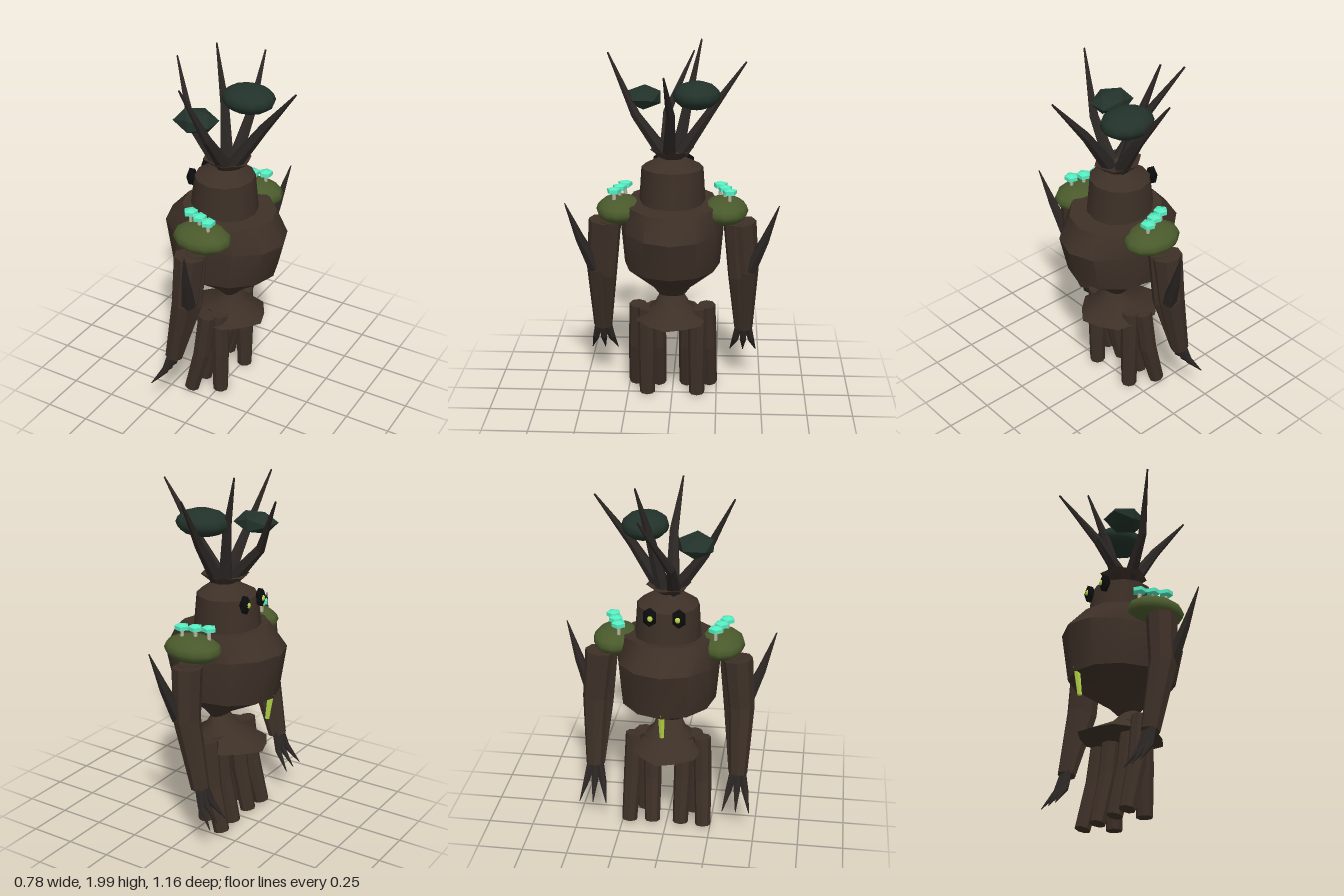
import * as THREE from 'three';
import { toCreasedNormals } from 'three/addons/utils/BufferGeometryUtils.js';

const mat = (color, flatShading = true) => new THREE.MeshStandardMaterial({ color, flatShading, side: THREE.DoubleSide });
const bark = mat(0x3d3027), trunkBark = mat(0x3d3027, false), wood = mat(0x2b2624);
const moss = mat(0x4a5a2c, false), leaf = mat(0x22322a, false), flatLeaf = mat(0x22322a);
const teal = mat(0x55ecc0), stemMat = mat(0xb8b0a0), black = mat(0x0c0c0e), glow = mat(0xb8d848);
const V = (p) => new THREE.Vector3(...p);

// Skins a list of rings (equal point counts) and closes both ends
function skin(rings) {
  const out = [], n = rings[0].length;
  const tri = (...ps) => ps.forEach((p) => out.push(p.x, p.y, p.z));
  const mid = (r) => r.reduce((s, p) => s.add(p), new THREE.Vector3()).divideScalar(n);
  const last = rings[rings.length - 1], c0 = mid(rings[0]), c1 = mid(last);
  for (let j = 0; j < n; j++) {
    const k = (j + 1) % n;
    for (let i = 0; i < rings.length - 1; i++) {
      tri(rings[i][j], rings[i + 1][j], rings[i][k]);
      tri(rings[i][k], rings[i + 1][j], rings[i + 1][k]);
    }
    tri(c0, rings[0][j], rings[0][k]);
    tri(c1, last[k], last[j]);
  }
  const g = new THREE.BufferGeometry();
  g.setAttribute('position', new THREE.Float32BufferAttribute(out, 3));
  g.computeVertexNormals();
  return g;
}

// Level rings, bottom to top: [centreX, y, radiusX, radiusZ, tilt, twist, jag]
function loft(sections, sides = 12) {
  const g = skin(sections.map(([cx, y, rx, rz, tilt = 0, twist = 0, jag = 0]) =>
    Array.from({ length: sides }, (_, j) => {
      const a = (j / sides) * Math.PI * 2 + twist, s = 1 - (j % 2) * jag;
      return new THREE.Vector3(cx + Math.cos(a) * rx * s, y + tilt * Math.cos(a), Math.sin(a) * rz * s);
    })));
  return toCreasedNormals(g, 0.62);
}

// Tapering limb along a few points, one radius per point
function limb(points, radii, sides = 7) {
  const ps = points.map(V);
  return skin(ps.map((p, i) => {
    const t = ps[Math.min(i + 1, ps.length - 1)].clone().sub(ps[Math.max(i - 1, 0)]).normalize();
    const u = new THREE.Vector3(1, 0, 0).addScaledVector(t, -t.x).normalize();
    const v = u.clone().cross(t);
    return Array.from({ length: sides }, (_, j) => {
      const a = (j / sides) * Math.PI * 2;
      return p.clone().addScaledVector(u, Math.cos(a) * radii[i]).addScaledVector(v, Math.sin(a) * radii[i]);
    });
  }));
}

export function createModel() {
  const root = new THREE.Group();
  const add = (name, geo, material, parent = root) => {
    const m = new THREE.Mesh(geo, material);
    m.name = name;
    parent.add(m);
    return m;
  };
  const blob = (name, geo, material, pos, size, parent) => {
    const m = add(name, geo, material, parent);
    m.position.set(...pos);
    m.scale.set(...size);
    return m;
  };

  // Trunk: flared skirt, twisted waist and barrel chest
  add('torso', loft([
    [-0.035, 0.472, 0.25, 0.21, 0, -0.9, 0.08],
    [0, 0.56, 0.09, 0.1, 0, -0.6],
    [0.015, 0.62, 0.04, 0.07, 0, -0.3],
    [0.005, 0.67, 0.1, 0.11, 0, -0.1],
    [-0.03, 0.79, 0.298, 0.262],
    [-0.025, 1.025, 0.347, 0.282, -0.025],
    [-0.005, 1.15, 0.255, 0.25, -0.022],
  ]), trunkBark);

  // Head with a pinched top and a ragged collar
  add('head', loft([
    [-0.037, 1.14, 0.185, 0.18],
    [-0.037, 1.17, 0.182, 0.178],
    [-0.033, 1.335, 0.162, 0.167],
    [-0.01, 1.4, 0.05, 0.055],
  ]), trunkBark);
  add('crownCollar', loft([
    [-0.01, 1.385, 0.05, 0.055],
    [-0.02, 1.44, 0.138, 0.12, 0, 0.3, 0.12],
    [-0.01, 1.42, 0.06, 0.06, 0, 0.3],
  ]), trunkBark);

  // Branches on the crown: base, bend, tip
  [
    [[-0.06, 1.42, 0.035], [-0.215, 1.595, 0.035], [-0.385, 1.9, -0.105]],
    [[0.03, 1.42, 0.015], [0.195, 1.66, 0], [0.385, 1.9, 0.025]],
    [[-0.01, 1.42, 0.05], [-0.025, 1.62, 0.195], [-0.09, 1.94, 0.345]],
    [[0, 1.42, -0.05], [0.015, 1.64, -0.195], [-0.01, 1.91, -0.387]],
    [[-0.04, 1.42, -0.03], [-0.085, 1.7, -0.085], [-0.17, 2, -0.15]],
  ].forEach((p) => add('branch', limb(p, [0.04, 0.026, 0.005], 6), wood));

  // Foliage clumps
  blob('largeFoliage', new THREE.SphereGeometry(1, 12, 8), leaf, [0.033, 1.74, -0.13], [0.148, 0.072, 0.126]);
  blob('smallFoliage', new THREE.IcosahedronGeometry(1, 0), flatLeaf, [-0.113, 1.697, 0.155], [0.125, 0.064, 0.104]);

  // Glowing strip hanging at the chest
  add('glowStrip', limb([[-0.292, 0.663, 0], [-0.314, 0.82, 0]], [0.013, 0.019], 6), glow);

  // Paired parts, mirrored across z
  for (const s of [1, -1]) {
    const side = new THREE.Group();
    side.name = s > 0 ? 'nearSide' : 'farSide';
    root.add(side);
    const m = (ps) => ps.map(([x, y, z]) => [x, y, z * s]);

    blob('eyeSocket', new THREE.IcosahedronGeometry(1, 0), black, [-0.193, 1.315, 0.077 * s], [0.027, 0.058, 0.04], side);
    blob('eye', new THREE.SphereGeometry(1, 8, 6), glow, [-0.213, 1.315, 0.072 * s], [0.009, 0.016, 0.016], side);

    // Mossy shoulder with three mushrooms
    blob('shoulderMoss', new THREE.SphereGeometry(1, 12, 8), moss, [-0.006, 1.103, 0.285 * s], [0.164, 0.072, 0.127], side);
    [[-0.09, 0.26], [-0.022, 0.285], [0.045, 0.31]].forEach(([x, z]) => {
      blob('mushroomStem', new THREE.CylinderGeometry(0.009, 0.011, 0.07, 6), stemMat, [x, 1.175, z * s], [1, 1, 1], side);
      blob('mushroomCap', new THREE.SphereGeometry(1, 5, 3), teal, [x, 1.218, z * s], [0.045, 0.021, 0.045], side);
    });

    // Arm of fused strands
    add('arm', limb(m([[-0.03, 1.03, 0.375], [-0.045, 0.75, 0.402], [-0.125, 0.37, 0.402]]), [0.083, 0.074, 0.05], 8), bark, side);
    add('armStrand', limb(m([[-0.01, 1.03, 0.335], [-0.02, 0.72, 0.355], [-0.115, 0.37, 0.38]]), [0.058, 0.048, 0.033], 7), bark, side);
    add('armSpike', limb(m([[-0.01, 0.76, 0.425], [0.025, 0.94, 0.503], [0.065, 1.15, 0.575]]), [0.042, 0.026, 0.003], 6), wood, side);
    [-1, 0, 1].forEach((k) => add('finger', limb(
      m([[-0.125, 0.4, 0.4 + k * 0.02], [-0.16, 0.28, 0.4 + k * 0.045], [-0.235, 0.18, 0.4 + k * 0.075]]),
      [0.024, 0.02, 0.002], 6), wood, side));

    // Leg of three root strands: two striding forward, one behind
    [
      [[-0.04, 0.535, 0.19], [-0.07, 0.28, 0.2], [-0.135, 0.02, 0.21]],
      [[-0.035, 0.535, 0.09], [-0.065, 0.28, 0.085], [-0.125, 0.02, 0.08]],
      [[0.01, 0.535, 0.14], [0.015, 0.28, 0.14], [0.015, 0.02, 0.14]],
    ].forEach((p) => add('legStrand', limb(m(p), [0.05, 0.05, 0.043], 8), bark, side));
  }
  return root;
}
